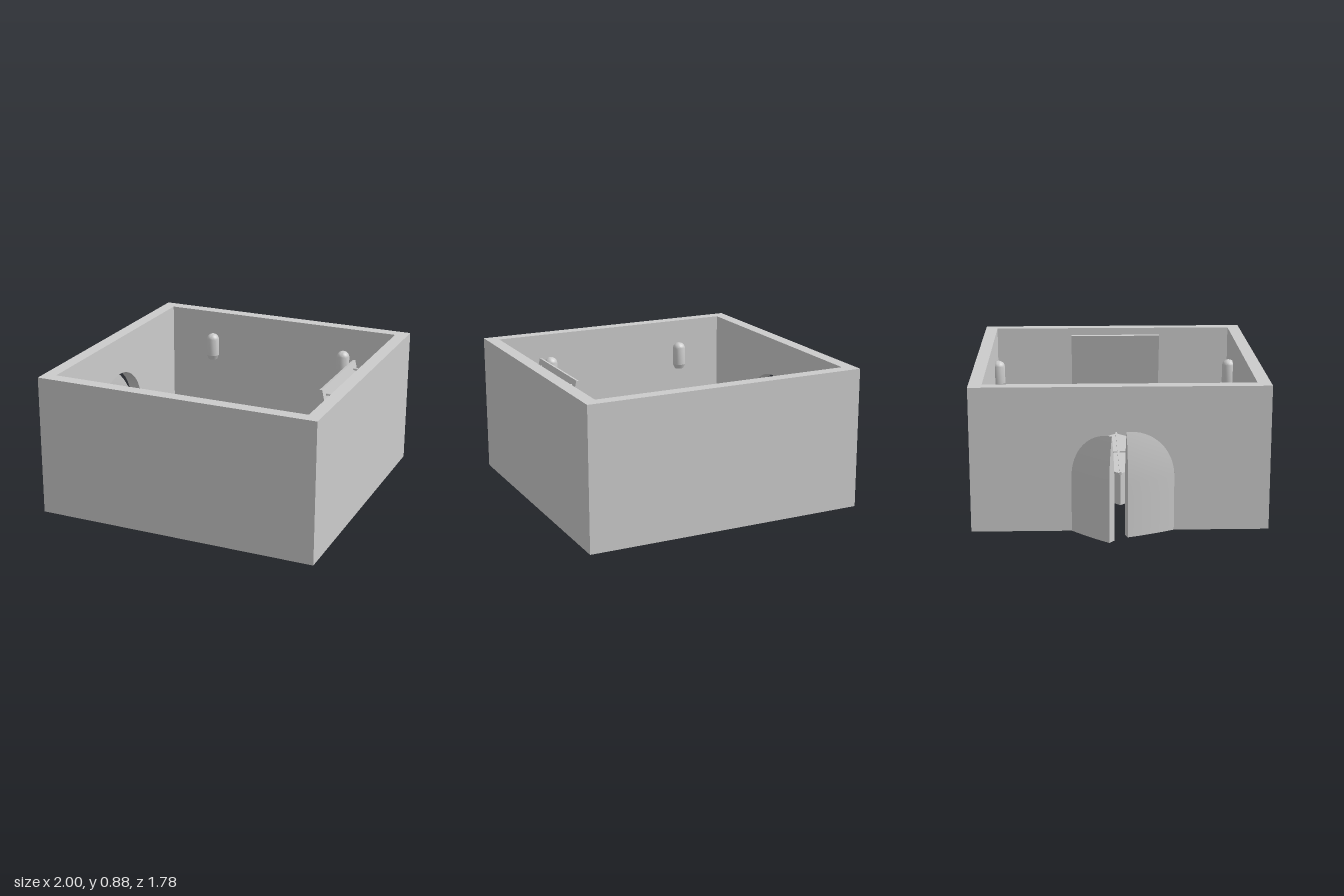
import * as THREE from 'three';
import { toCreasedNormals } from 'three/addons/utils/BufferGeometryUtils.js';

const material = new THREE.MeshStandardMaterial({ color: 0xcccccc });
const X0 = -0.785, X1 = 1, Z = 0.89, H = 0.885, T = 0.08; // room shell
const R = 0.305, SPRING = 0.335, DOOR_Z = 0.015; // arched doorway

export function createModel() {
  const model = new THREE.Group();
  const add = (name, geometry, x = 0, y = 0, z = 0, parent = model) => {
    const mesh = new THREE.Mesh(geometry, material);
    mesh.name = name;
    mesh.position.set(x, y, z);
    parent.add(mesh);
    return mesh;
  };
  const box = (w, h, d) => new THREE.BoxGeometry(w, h, d);

  // Solid walls
  const midX = (X0 + X1) / 2;
  add('frontWall', box(X1 - X0, H, T), midX, H / 2, Z - T / 2);
  add('backWall', box(X1 - X0, H, T), midX, H / 2, -Z + T / 2);
  add('leftWall', box(T, H, 2 * (Z - T)), X1 - T / 2, H / 2, 0);

  // Wall with the arched doorway, drawn along z and extruded along -x
  const wall = new THREE.Shape();
  wall.moveTo(DOOR_Z + R, 0);
  wall.lineTo(Z - T, 0);
  wall.lineTo(Z - T, H);
  wall.lineTo(T - Z, H);
  wall.lineTo(T - Z, 0);
  wall.lineTo(DOOR_Z - R, 0);
  wall.lineTo(DOOR_Z - R, SPRING);
  wall.absarc(DOOR_Z, SPRING, R, Math.PI, 0, true);
  wall.lineTo(DOOR_Z + R, 0);
  const wallGeometry = new THREE.ExtrudeGeometry(wall, { depth: T, bevelEnabled: false, curveSegments: 32 });
  wallGeometry.rotateY(-Math.PI / 2);
  add('doorwayWall', toCreasedNormals(wallGeometry, 0.5), X0 + T, 0, 0);

  // Two swung-open half-arch leaves, thick at the meeting edge
  const leaf = leafGeometry();
  for (const [side, angle] of [[-1, 0.695], [1, 0.34]]) {
    const dx = -Math.sin(angle), dz = -side * Math.cos(angle);
    const door = add(side < 0 ? 'backDoorLeaf' : 'frontDoorLeaf', leaf, X0, 0, DOOR_Z + side * R);
    door.rotation.y = Math.atan2(-dz, dx);
  }

  // Low diamond table with crossed strips on its top
  const table = new THREE.Group();
  table.name = 'table';
  table.position.set(0.125, 0, 0.015);
  model.add(table);
  add('tableBody', toCreasedNormals(new THREE.CylinderGeometry(0.455, 0.455, 0.21, 4), 0.5), 0, 0.105, 0, table);
  add('tableStrip', box(0.91, 0.02, 0.012), 0, 0.21, 0, table);
  add('tableStrip', box(0.012, 0.02, 0.91), 0, 0.21, 0, table);

  // Four floor cushions with softened top edges
  const profile = [[0, 0], [0.212, 0], [0.212, 0.032], [0.206, 0.044], [0.192, 0.053], [0.17, 0.057], [0, 0.06]];
  const cushion = toCreasedNormals(
    new THREE.LatheGeometry(profile.map(p => new THREE.Vector2(...p)), 4), 0.7);
  for (const x of [-0.305, 0.555])
    for (const z of [-0.415, 0.445]) add('cushion', cushion, x, 0, z);

  // Domed wall lamps
  const lampProfile = [[0, 0], [0.03, 0], [0.043, 0.03], [0.043, 0.14]];
  for (let i = 1; i <= 8; i++) {
    const a = i / 8 * Math.PI / 2;
    lampProfile.push([0.043 * Math.cos(a), 0.14 + 0.043 * Math.sin(a)]);
  }
  const lamp = toCreasedNormals(
    new THREE.LatheGeometry(lampProfile.map(p => new THREE.Vector2(...p)), 24), 0.4);
  for (const x of [-0.39, 0.572])
    for (const z of [-0.787, 0.782]) add('wallLamp', lamp, x, 0.55, z);

  // Board leaning out from the wall on two rods
  const lean = Math.atan2(0.09, 0.4);
  const board = add('hangingBoard', box(0.018, 0.42, 0.61), 0.858, 0.65, DOOR_Z);
  board.rotation.z = lean;
  for (const z of [-0.235, 0.27]) {
    const rod = add('boardRod', new THREE.CylinderGeometry(0.008, 0.008, 0.1, 12), 0.875, 0.815, z);
    rod.rotation.z = Math.PI / 2;
  }
  return model;
}

// Half-arch leaf from its hinge at x = 0 to the meeting edge at x = R
function leafGeometry() {
  const cols = 12, arch = 16, straight = 4;
  const rows = arch + straight + 1; // the last row closes the bottom
  const geometry = new THREE.PlaneGeometry(1, 1, 2 * cols + 1, rows);
  const pos = geometry.attributes.position;
  for (let j = 0, k = 0; j <= rows; j++) {
    const a = Math.max(0, 1 - j / arch) * Math.PI / 2;
    const y = j <= arch ? SPRING + R * Math.sin(a) : SPRING * Math.max(0, 1 - (j - arch) / straight);
    const width = R * Math.cos(a);
    for (let i = 0; i <= 2 * cols + 1; i++, k++) {
      const front = i <= cols;
      const d = (front ? 1 - i / cols : (i - cols - 1) / cols) * width;
      const r = Math.min(1, Math.hypot(d, Math.max(0, y - SPRING)) / R);
      const half = j === rows ? 0 : 0.024 * (1 - r * r);
      pos.setXYZ(k, R - d, y, front ? half : -half);
    }
  }
  return toCreasedNormals(geometry, 0.6);
}
